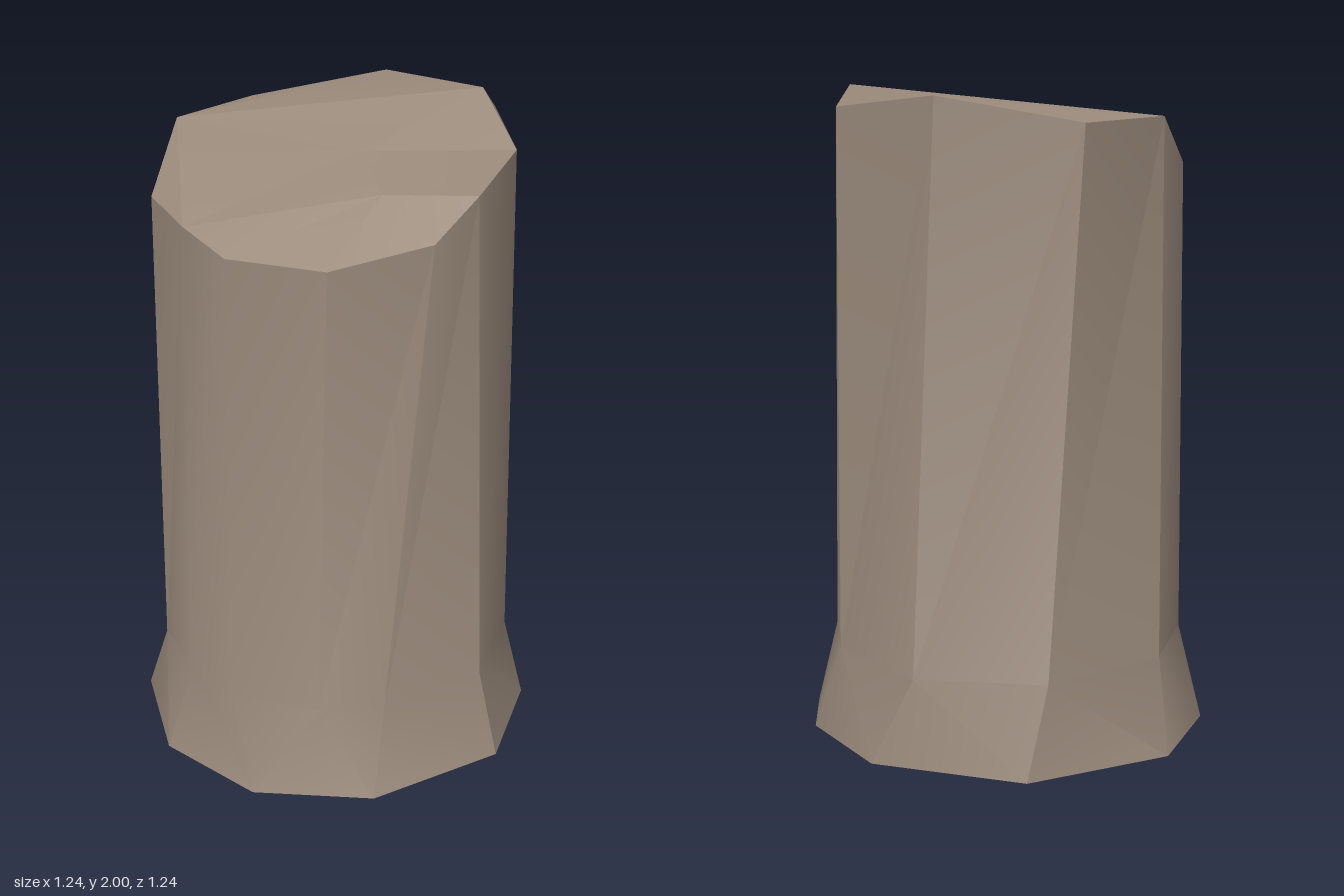
import * as THREE from 'three';
import { toCreasedNormals } from 'three/addons/utils/BufferGeometryUtils.js';

// Rings run clockwise as seen from above, starting at the back.
const BASE = [[0.33, 0.01, -0.53], [0.57, 0.015, -0.25], [0.62, 0.015, 0], [0.53, 0.01, 0.36], [0.155, 0.015, 0.62],
  [-0.22, 0, 0.59], [-0.51, 0.005, 0.37], [-0.62, 0.015, 0.015], [-0.54, 0.01, -0.34], [-0.15, 0.01, -0.62]];
const WAIST = [[0.2, -0.535], [0.48, -0.27], [0.555, 0], [0.47, 0.31], [0.18, 0.51], [-0.02, 0.55],
  [-0.29, 0.465], [-0.43, 0.34], [-0.54, 0.12], [-0.5, -0.21], [-0.2, -0.53]].map(([x, z]) => [x, 0.28, z]);
const RIM = {
  A: [0.13, 1.975, -0.52], B: [0.47, 1.935, -0.26], C: [0.53, 1.88, -0.01], D: [0.42, 1.845, 0.31],
  E: [0.3, 1.75, 0.45], F: [0.01, 1.7, 0.545], G: [-0.28, 1.7, 0.46], H: [-0.41, 1.75, 0.345],
  I: [-0.53, 1.76, 0.12], J: [-0.49, 1.91, -0.18], K: [-0.29, 1.9, -0.465],
};

function geometryFrom(triangles, crease) {
  const g = new THREE.BufferGeometry();
  g.setAttribute('position', new THREE.Float32BufferAttribute(triangles.flat(2), 3));
  return toCreasedNormals(g, crease);
}

// Bearing around the trunk, from the back towards +x
const bearing = ([x, , z]) => (Math.atan2(x, -z) + Math.PI * 2) % (Math.PI * 2);

// Stitch two rings that may differ in point count
function stitch(low, high) {
  const triangles = [];
  const at = (ring, i) => ring[i % ring.length];
  const turn = (ring, i) => bearing(at(ring, i)) + (i >= ring.length ? Math.PI * 2 : 0);
  let i = 0, j = 0;
  while (i < low.length || j < high.length) {
    const stepLow = j >= high.length || (i < low.length && turn(low, i + 1) < turn(high, j + 1));
    if (stepLow) triangles.push([at(low, i), at(high, j), at(low, ++i)]);
    else triangles.push([at(low, i), at(high, j), at(high, ++j)]);
  }
  return triangles;
}

export function createModel() {
  const group = new THREE.Group();
  group.name = 'stump';
  const bark = new THREE.MeshStandardMaterial({ color: 0x9a8a7b, side: THREE.DoubleSide });
  bark.name = 'dull brown';

  const add = (name, triangles, crease) => {
    const mesh = new THREE.Mesh(geometryFrom(triangles, crease), bark);
    mesh.name = name;
    group.add(mesh);
  };

  // Trunk wall with flared foot, open underneath
  const rim = Object.values(RIM);
  const wall = [];
  rim.forEach((top, i) => {
    const n = (i + 1) % rim.length;
    wall.push([WAIST[i], top, WAIST[n]], [top, rim[n], WAIST[n]]);
  });
  add('trunk', [...stitch(BASE, WAIST), ...wall], 0.6);

  // Slanted broken top: crest J-P, middle Q, front brow R
  const points = { ...RIM, P: [0.43, 2, -0.245], Q: [0.07, 1.88, 0.03], R: [0.15, 1.84, 0.3] };
  const faces = 'JKA JAP ABP PBC JPQ PCQ QCD QDR QRH QHJ HIJ RDE REF RFG RGH'.split(' ');
  add('slantedTop', faces.map((f) => [...f].reverse().map((k) => points[k])), 0.3);

  return group;
}
